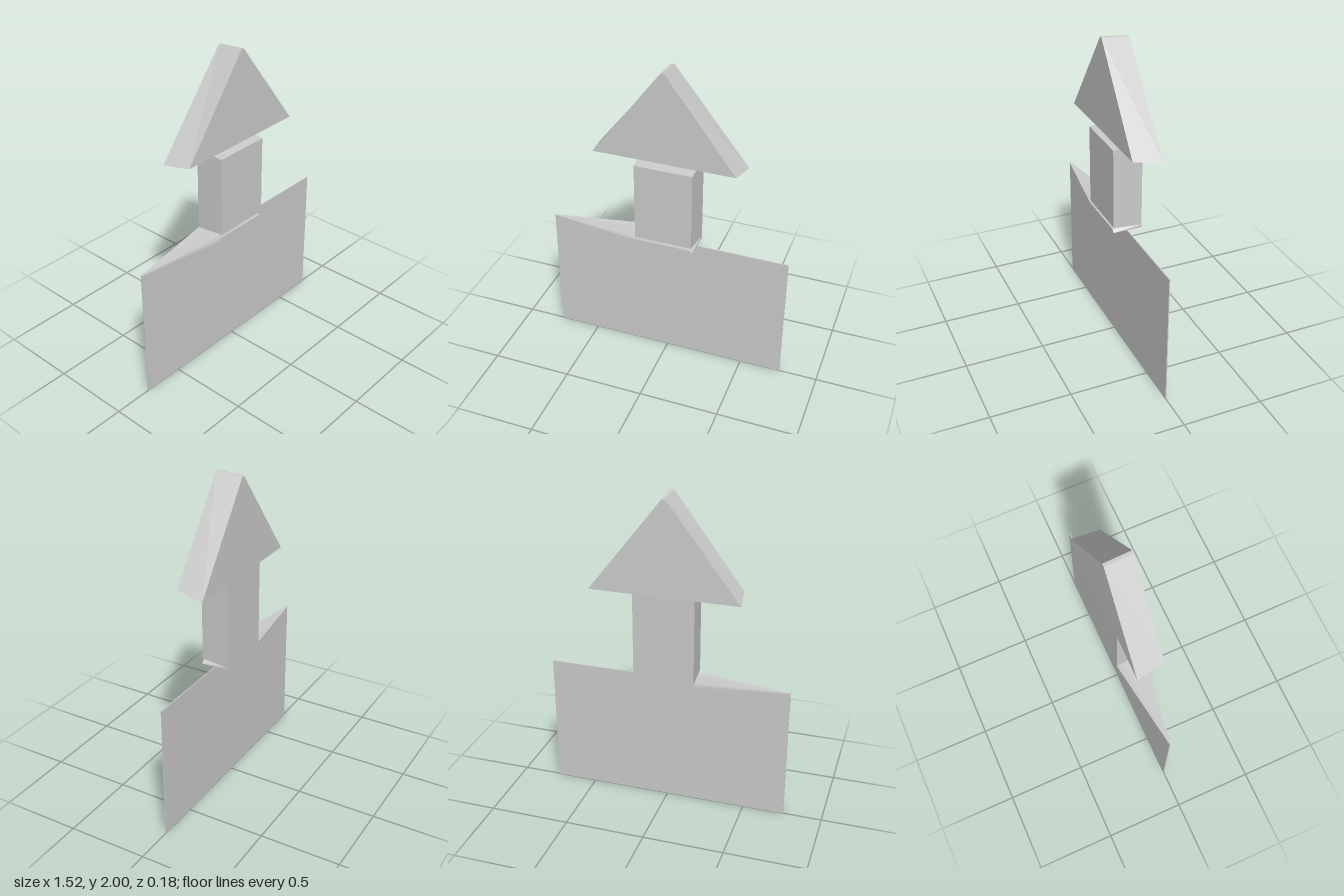
import * as THREE from 'three';

const material = new THREE.MeshStandardMaterial({ color: 0xcccccc, flatShading: true, side: THREE.DoubleSide });

// Solid between two matching convex rings; each ring runs counter-clockwise seen from the first ring's side
function loft(name, near, far) {
  const n = near.length;
  const index = [];
  for (let i = 0; i < n; i++) {
    const j = (i + 1) % n;
    index.push(i, n + i, j, j, n + i, n + j);
    if (i > 0 && i < n - 1) index.push(0, i, i + 1, n, n + i + 1, n + i);
  }
  const indexed = new THREE.BufferGeometry();
  indexed.setAttribute('position', new THREE.Float32BufferAttribute([...near, ...far].flat(), 3));
  indexed.setIndex(index);
  const geometry = indexed.toNonIndexed();
  geometry.computeVertexNormals();
  const mesh = new THREE.Mesh(geometry, material);
  mesh.name = name;
  return mesh;
}

// Symmetric four-corner ring: half widths and heights of the bottom and top edges
const ring = (bottomX, bottomY, bottomZ, topX, topY, topZ) => [
  [-bottomX, bottomY, bottomZ], [bottomX, bottomY, bottomZ],
  [topX, topY, topZ], [-topX, topY, topZ],
];

export function createModel() {
  const group = new THREE.Group();
  group.name = 'arrowSign';

  // Thin upright panel
  const panel = new THREE.Mesh(new THREE.BoxGeometry(1.52, 0.845, 0.006), material);
  panel.name = 'panel';
  panel.position.y = 0.4225;
  group.add(panel);

  // Wedge ledge on top of the panel, tapering to its right end
  group.add(loft('ledge',
    [[-0.76, 0.852, 0.004], [-0.19, 0.862, 0.088], [0.17, 0.862, 0.088],
      [0.19, 0.865, -0.092], [-0.19, 0.865, -0.092], [-0.76, 0.852, -0.004]],
    [[-0.76, 0.845, 0.004], [-0.2, 0.845, 0.088], [0.187, 0.845, 0.088],
      [0.19, 0.845, -0.092], [-0.19, 0.845, -0.092], [-0.76, 0.845, -0.004]]));

  // Shaft and head, both slightly smaller at the front
  group.add(loft('arrowShaft',
    ring(0.18, 0.88, 0.087, 0.18, 1.385, 0.087),
    ring(0.19, 0.865, -0.092, 0.19, 1.403, -0.092)));
  group.add(loft('arrowHead',
    ring(0.438, 1.432, 0.084, 0.01, 2, 0.084),
    ring(0.465, 1.403, -0.092, 0.01, 1.985, -0.083)));

  return group;
}
